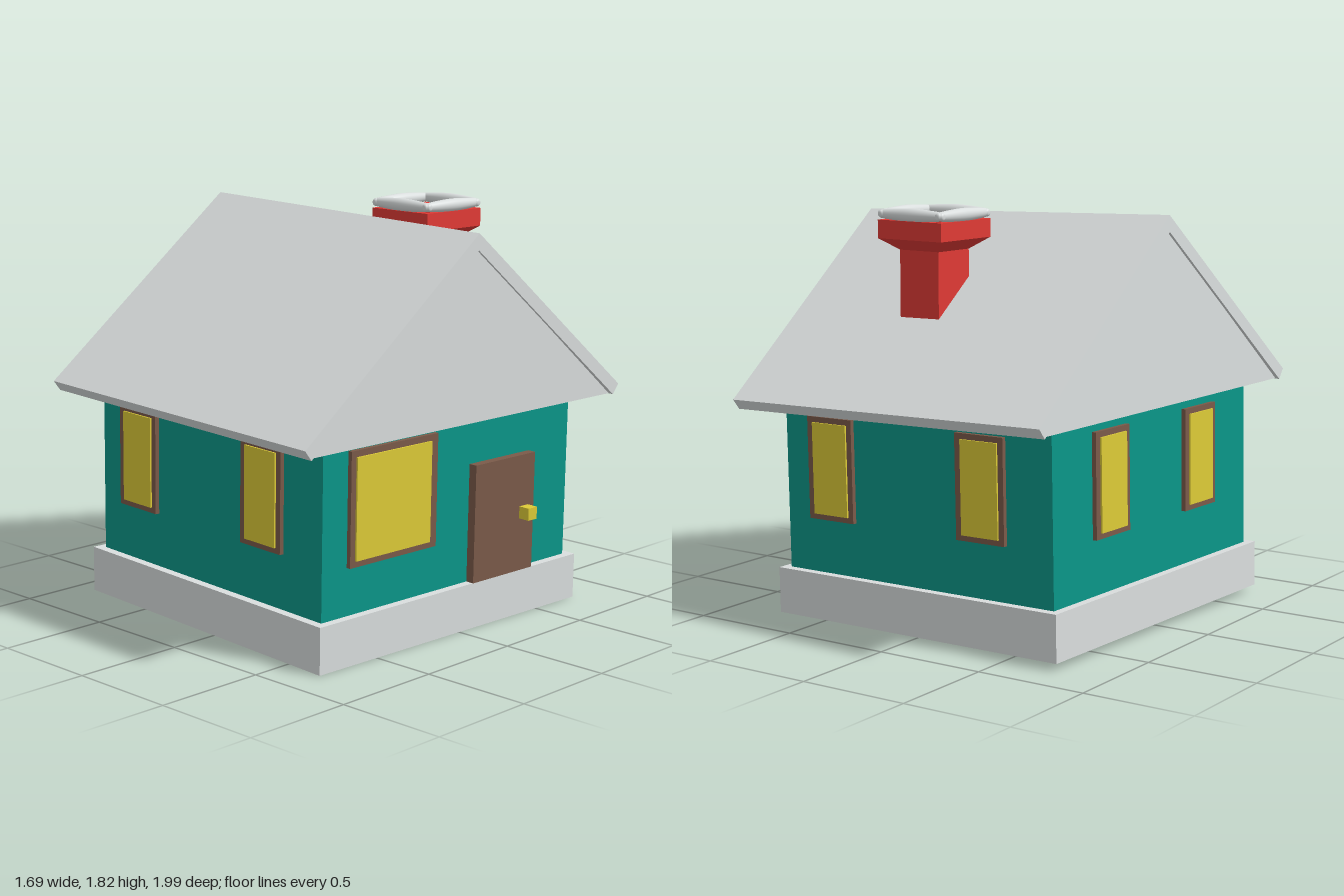
import * as THREE from 'three';

const mat = (name, color) => {
  const m = new THREE.MeshStandardMaterial({ color });
  m.name = name;
  return m;
};

export function createModel() {
  const stone = mat('light grey', 0xd9dddd);
  const teal = mat('teal', 0x0a9688);
  const brown = mat('brown', 0x7a5a49);
  const yellow = mat('yellow', 0xdcca37);
  const red = mat('red', 0xe03a35);

  const add = (parent, name, geometry, material, x = 0, y = 0, z = 0) => {
    const mesh = new THREE.Mesh(geometry, material);
    mesh.name = name;
    mesh.position.set(x, y, z);
    parent.add(mesh);
    return mesh;
  };
  const group = (parent, name) => {
    const g = new THREE.Group();
    g.name = name;
    if (parent) parent.add(g);
    return g;
  };
  const box = (w, h, d) => new THREE.BoxGeometry(w, h, d);

  const model = group(null, 'cottage');

  // House body, leaning and turned slightly
  const W = 1.44, D = 1.505;
  const house = group(model, 'house');
  house.position.set(-0.03, 0.016, 0.005);
  house.rotation.set(0, -0.039, -0.02, 'YZX');
  add(house, 'plinth', box(1.515, 0.205, 1.585), stone, 0, 0.1025, 0);
  add(house, 'walls', box(W, 0.8, D), teal, 0, 0.6, 0);

  // Windows: a frame with a prouder pane; u runs along the wall
  const addWindow = (name, angle, wallDist, u, y, w, h, pw, ph, shift) => {
    const side = group(house, name);
    side.rotation.y = angle;
    add(side, 'windowFrame', box(w, h, 0.05), brown, u, y, wallDist - 0.005);
    add(side, 'windowPane', box(pw, ph, 0.05), yellow, u + shift, y, wallDist + 0.003);
  };
  for (const [name, angle] of [['frontWindow', 0], ['backWindow', Math.PI]]) {
    for (const u of [-0.455, 0.362]) {
      addWindow(name, angle, D / 2, u, 0.674, 0.25, 0.455, 0.19, 0.405, 0.003);
    }
  }
  for (const u of [-0.345, 0.345]) {
    addWindow('leftWallWindow', -Math.PI / 2, W / 2, u, 0.674, 0.25, 0.455, 0.19, 0.405, 0);
  }
  addWindow('largeWindow', Math.PI / 2, W / 2, -0.36, 0.661, 0.505, 0.495, 0.435, 0.44, -0.008);

  // Door and square knob
  add(house, 'door', box(0.08, 0.528, 0.38), brown, W / 2, 0.469, -0.303);
  add(house, 'doorKnob', box(0.055, 0.055, 0.055), yellow, W / 2 + 0.067, 0.473, -0.428);

  // Roof: folded slab over a slightly recessed gable prism
  const roof = group(model, 'roof');
  roof.position.set(-0.032, 0, -0.004);
  roof.rotation.set(0, -0.0305, -0.0276, 'YZX');
  const alongX = (points, length) => {
    const shape = new THREE.Shape(points.map(([a, b]) => new THREE.Vector2(a, b)));
    const g = new THREE.ExtrudeGeometry(shape, { depth: length, bevelEnabled: false });
    return g.translate(0, 0, -length / 2).rotateY(Math.PI / 2);
  };
  add(roof, 'roofSlab', alongX([
    [0.97, 1.005], [0, 1.775], [-0.97, 1.005],
    [-0.935, 0.96], [0, 1.703], [0.935, 0.96],
  ], 1.635), stone);
  add(roof, 'gable', alongX([[-0.92, 0.965], [0.92, 0.965], [0, 1.71]], 1.61), stone);

  // Chimney: square turned profile with a flared cap and open top
  const chimney = group(model, 'chimney');
  chimney.position.set(0.132, 0, -0.43);
  chimney.rotation.y = -0.035;
  const profile = [
    [0.105, 1.2], [0.105, 1.635], [0.172, 1.685], [0.172, 1.765],
    [0.135, 1.765], [0.1, 1.62], [0, 1.62],
  ].map(([r, y]) => new THREE.Vector2(r * Math.SQRT2, y));
  const stack = new THREE.LatheGeometry(profile, 4).rotateY(Math.PI / 4).toNonIndexed();
  stack.computeVertexNormals();
  add(chimney, 'chimneyStack', stack, red);

  // Four plump snow rolls around the rim
  const rollCurve = new THREE.SplineCurve([
    [0, -0.178], [0.014, -0.174], [0.02, -0.15], [0.026, -0.075], [0.029, 0],
    [0.026, 0.075], [0.02, 0.15], [0.014, 0.174], [0, 0.178],
  ].map(([r, y]) => new THREE.Vector2(r, y)));
  const rollPoints = rollCurve.getPoints(32).map((p) => new THREE.Vector2(Math.max(0, p.x), p.y));
  const roll = new THREE.LatheGeometry(rollPoints, 20).rotateZ(Math.PI / 2);
  for (let i = 0; i < 4; i++) {
    const side = group(chimney, 'rimSide');
    side.rotation.y = i * Math.PI / 2;
    add(side, 'snowRoll', roll, stone, 0, 1.79, 0.155);
  }

  return model;
}
